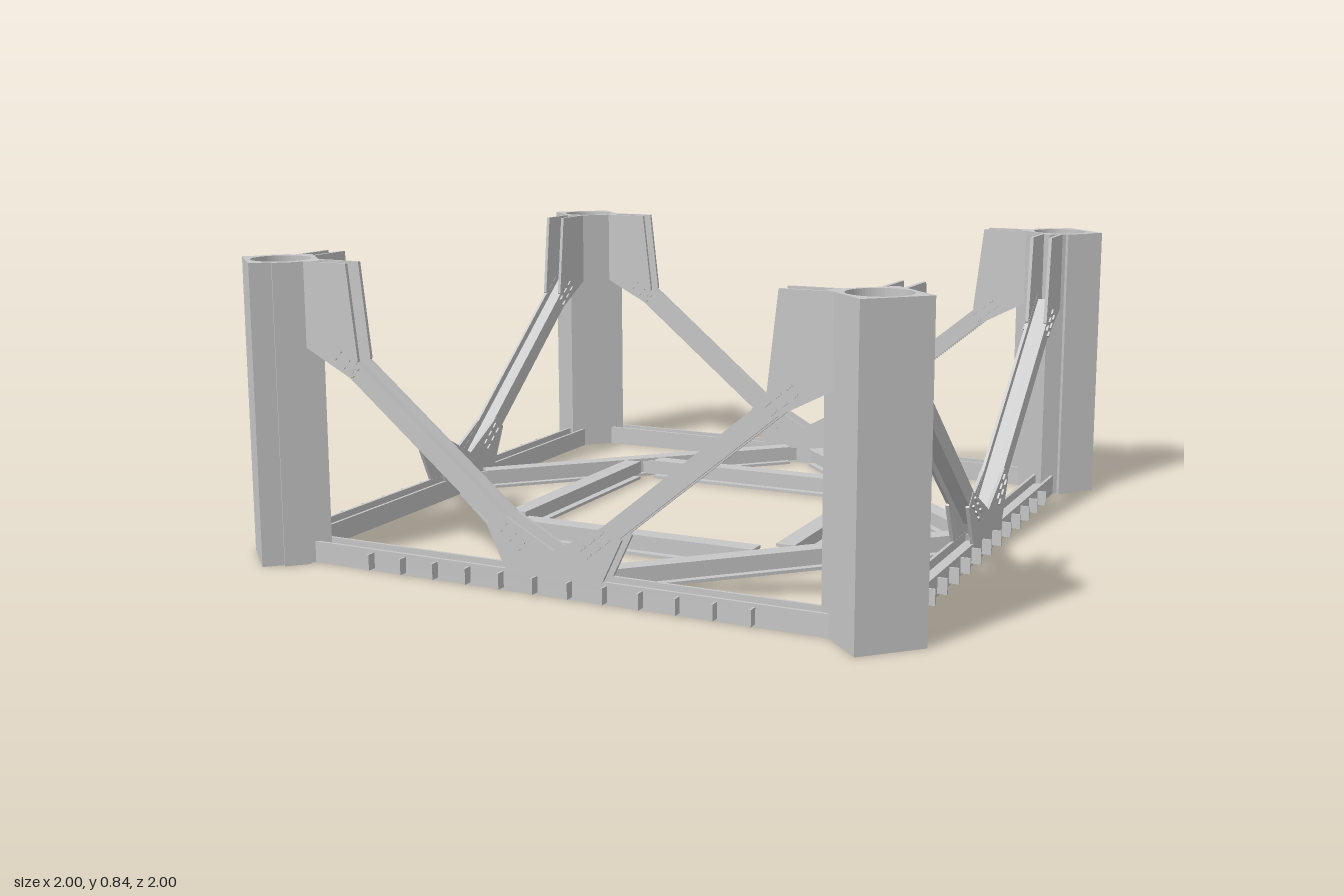
import * as THREE from 'three';

const C = 0.865;          // distance from centre to post and side-frame axes
const TOP = 0.84;         // post height
const steel = new THREE.MeshStandardMaterial({ color: 0xc6c6c6 });
steel.name = 'light grey steel';

function add(parent, name, geometry) {
  const m = new THREE.Mesh(geometry, steel);
  m.name = name;
  parent.add(m);
  return m;
}

function box(parent, name, w, h, d, x, y, z) {
  const m = add(parent, name, new THREE.BoxGeometry(w, h, d));
  m.position.set(x, y, z);
  return m;
}

// H beam along x: two flange plates and a web; flanges face z, or y when upright
function beam(name, length, webLength, size, upright) {
  const g = new THREE.Group();
  g.name = name;
  const t = 0.009, off = 0.0275;
  for (const s of [-1, 1]) {
    if (upright) box(g, 'flange', length, t, size, 0, s * 0.0255, 0);
    else box(g, 'flange', length, size, t, 0, 0, s * off);
  }
  if (upright) box(g, 'web', webLength, 0.045, t, 0, 0, 0);
  else box(g, 'web', webLength, t, 0.05, 0, 0, 0);
  return g;
}

// Square post turned 45 degrees with a round bore
function post(x, z) {
  const g = new THREE.Group();
  g.name = 'cornerPost';
  const r = 0.135;
  const s = new THREE.Shape([[r, 0], [0, r], [-r, 0], [0, -r]].map(p => new THREE.Vector2(...p)));
  const hole = new THREE.Path();
  hole.absarc(0, 0, 0.082, 0, Math.PI * 2, true);
  s.holes.push(hole);
  const geo = new THREE.ExtrudeGeometry(s, { depth: TOP, bevelEnabled: false, curveSegments: 32 });
  geo.rotateX(-Math.PI / 2);
  add(g, 'postTube', geo);
  // Guide rails on two opposite faces of two of the posts
  if (x * z < 0) {
    for (const k of [-1, 1]) {
      const o = k * 0.0715;
      const rail = box(g, 'guideRail', 0.072, TOP, 0.016, o, TOP / 2, o);
      rail.rotation.y = Math.PI / 4;
    }
  }
  g.position.set(x, 0, z);
  return g;
}

// A pair of plates, one on each face of the side frame
function gussets(parent, name, points) {
  const shape = new THREE.Shape(points.map(p => new THREE.Vector2(...p)));
  const geo = new THREE.ExtrudeGeometry(shape, { depth: 0.01, bevelEnabled: false });
  for (const z of [-0.0335, 0.0235]) add(parent, name, geo).position.z = z;
}

// One side of the frame, built along x
function sideFrame() {
  const g = new THREE.Group();
  g.name = 'sideFrame';
  const chord = beam('bottomChord', 1.53, 1.47, 0.06, false);
  chord.position.y = 0.03;
  g.add(chord);

  // Stiffener ribs on the outer face
  for (let i = 0; i < 12; i++) {
    box(g, 'rib', 0.006, 0.044, 0.028, (i - 5.5) * 0.103, 0.03, 0.045);
  }

  gussets(g, 'middleGusset', [[-0.14, 0.05], [0.14, 0.05], [0.2, 0.175], [0.16, 0.212],
    [0, 0.125], [-0.16, 0.212], [-0.2, 0.175]]);

  for (const s of [-1, 1]) {
    const upper = [[0.765, TOP], [0.625, TOP], [0.595, 0.58], [0.62, 0.53], [0.765, 0.605]];
    gussets(g, 'postGusset', upper.map(([x, y]) => [s * x, y]));

    // Diagonal brace
    const a = new THREE.Vector2(0.05, 0.094), b = new THREE.Vector2(0.71, 0.635);
    const len = a.distanceTo(b), ang = Math.atan2(b.y - a.y, b.x - a.x);
    const brace = beam('diagonalBrace', len, len, 0.051, false);
    brace.position.set(s * (a.x + b.x) / 2, (a.y + b.y) / 2, 0);
    brace.rotation.z = s * ang;
    // Small bolts on the outer faces of each joint
    for (const u of [-0.33, 0.33]) for (const k of [-1, 0, 1]) {
      for (const v of [-0.013, 0.013]) for (const f of [-1, 1]) {
        box(brace, 'bolt', 0.02, 0.006, 0.008, s * (u + k * 0.035), v, f * 0.035);
      }
    }
    g.add(brace);
  }
  return g;
}

export function createModel() {
  const model = new THREE.Group();
  model.name = 'steelFrame';
  for (const x of [-C, C]) for (const z of [-C, C]) model.add(post(x, z));

  for (let i = 0; i < 4; i++) {
    const side = new THREE.Group();
    side.name = 'frameQuarter';
    side.rotation.y = i * Math.PI / 2;

    const frame = sideFrame();
    frame.position.z = C;
    side.add(frame);

    // Floor beam joining the midpoints of neighbouring sides
    const floor = beam('diagonalFloorBeam', 1.075, 1.17, 0.052, true);
    floor.position.set(C / 2, 0.03, C / 2);
    floor.rotation.y = Math.PI / 4;
    side.add(floor);

    // Inner square beam with thin end connections
    const inner = beam('innerFloorBeam', 0.74, 0.84, 0.055, true);
    inner.position.set(0, 0.03, 0.43);
    side.add(inner);

    model.add(side);
  }
  return model;
}
